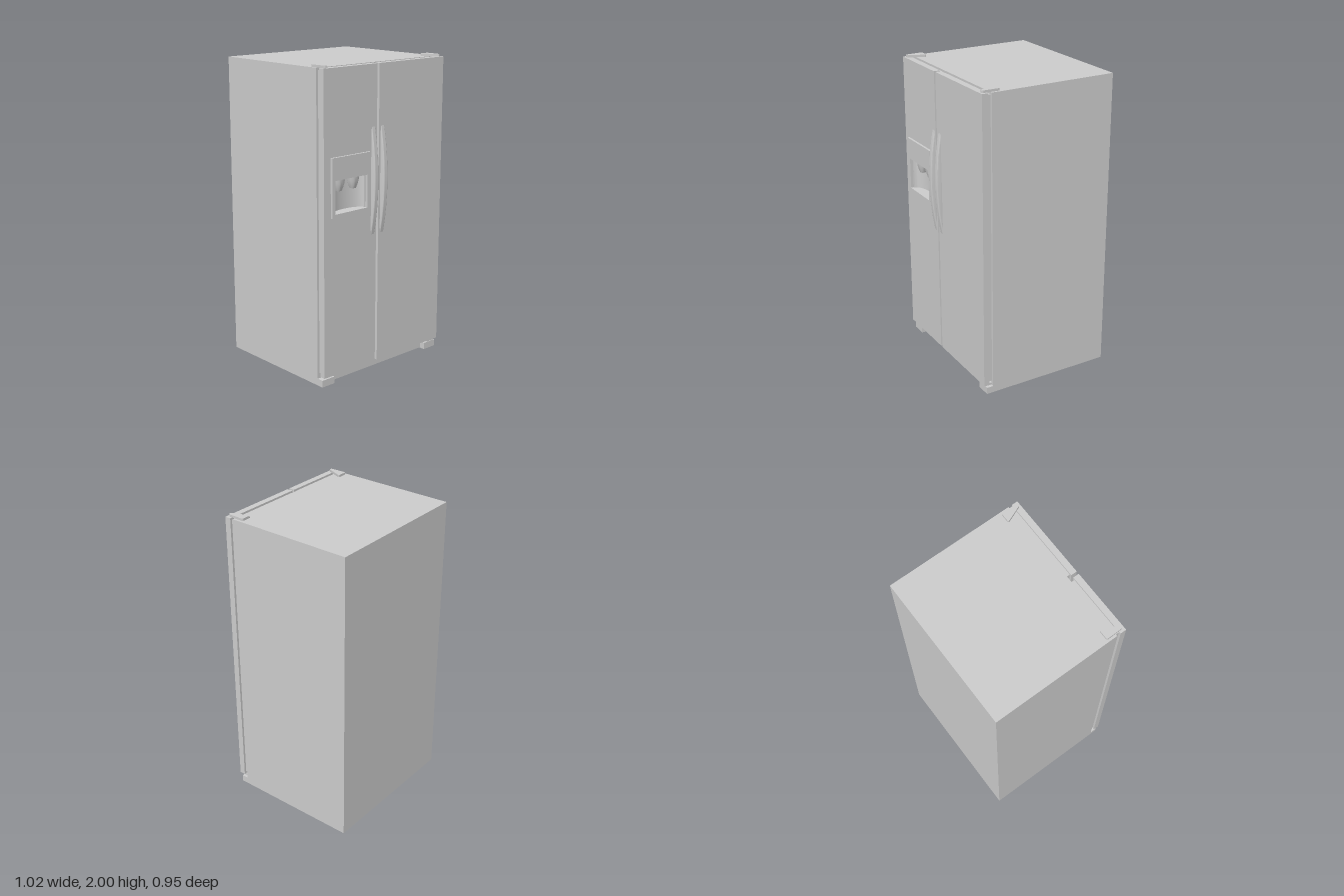
import * as THREE from 'three';
import { toCreasedNormals } from 'three/addons/utils/BufferGeometryUtils.js';

const material = new THREE.MeshStandardMaterial({ color: 0xcccccc });

// Dispenser opening: left, right, bottom, top
const OPENING = [-0.432, -0.168, 1.108, 1.315];

export function createModel() {
  const model = new THREE.Group();

  const add = (name, geometry) => {
    const mesh = new THREE.Mesh(geometry, material);
    mesh.name = name;
    model.add(mesh);
    return mesh;
  };

  // Box given by its limits
  const box = (name, x0, x1, y0, y1, z0, z1) =>
    add(name, new THREE.BoxGeometry(x1 - x0, y1 - y0, z1 - z0)
      .translate((x0 + x1) / 2, (y0 + y1) / 2, (z0 + z1) / 2));

  const rectangle = (path, x0, x1, y0, y1) =>
    path.moveTo(x0, y0).lineTo(x1, y0).lineTo(x1, y1).lineTo(x0, y1).closePath();

  // Upright plate with the dispenser opening cut through it
  const cutPlate = (name, x0, x1, y0, y1, z0, z1) => {
    const shape = rectangle(new THREE.Shape(), x0, x1, y0, y1);
    shape.holes.push(rectangle(new THREE.Path(), ...OPENING));
    add(name, new THREE.ExtrudeGeometry(shape, { depth: z1 - z0, bevelEnabled: false })
      .translate(0, 0, z0));
  };

  // Plan outline in x and z, raised from y0 to y1
  const planExtrude = (points, y0, y1) =>
    new THREE.ExtrudeGeometry(
      new THREE.Shape(points.map(([x, z]) => new THREE.Vector2(x, -z))),
      { depth: y1 - y0, bevelEnabled: false }
    ).rotateX(-Math.PI / 2).translate(0, y0, 0);

  // Cabinet, doors and their inset gaskets
  box('cabinet', -0.512, 0.512, 0, 1.985, -0.475, 0.375);
  cutPlate('freezerGasket', -0.497, -0.09, 0.08, 1.972, 0.375, 0.4);
  cutPlate('freezerDoor', -0.512, -0.078, 0.065, 1.985, 0.4, 0.44);
  box('fridgeGasket', -0.047, 0.497, 0.08, 1.972, 0.375, 0.4);
  box('fridgeDoor', -0.06, 0.512, 0.065, 1.985, 0.4, 0.44);

  // Base: kick plate, feet and lower hinge
  box('kickPlate', -0.415, 0.415, 0.004, 0.045, 0.37, 0.385);
  for (const side of [-1, 1]) {
    const inner = side * 0.412, outer = side * 0.512;
    box('frontFoot', Math.min(inner, outer), Math.max(inner, outer), 0, 0.045, 0.37, 0.42);
  }
  box('lowerHinge', 0.435, 0.497, 0.05, 0.065, 0.37, 0.425);

  // Top hinges: tapered covers with rounded corners
  for (const side of [-1, 1]) {
    const outline = new THREE.Shape()
      .moveTo(0.497, -0.322).lineTo(0.495, -0.42)
      .quadraticCurveTo(0.492, -0.43, 0.482, -0.43)
      .quadraticCurveTo(0.476, -0.43, 0.472, -0.42)
      .lineTo(0.431, -0.324).quadraticCurveTo(0.428, -0.312, 0.438, -0.312)
      .lineTo(0.488, -0.312).quadraticCurveTo(0.497, -0.312, 0.497, -0.322);
    const points = outline.getPoints(6).slice(0, -1).map((p) => [side * p.x, -p.y]);
    add('topHinge', planExtrude(points, 1.985, 2));
  }

  // Dispenser: raised frame, concave back wall and two spouts
  cutPlate('dispenserFrame', -0.458, -0.14, 1.085, 1.455, 0.44, 0.455);
  const [left, right, bottom, top] = OPENING;
  const wall = [[left, 0.374], [right, 0.374]];
  for (let i = 0; i <= 24; i++) {
    const angle = Math.PI * i / 24;
    wall.push([
      (left + right) / 2 + 0.125 * Math.cos(angle),
      0.435 - 0.055 * Math.sin(angle),
    ]);
    if (i === 0) wall.splice(2, 0, [right, 0.435]);
  }
  wall.push([left, 0.435]);
  add('dispenserRecess', toCreasedNormals(planExtrude(wall, bottom, top), 0.6));
  for (const x of [-0.358, -0.24]) {
    const profile = [[0, 0], [0.02, 0], [0.028, 0.02], [0.036, 0.048], [0.041, 0.08]]
      .map(([r, y]) => new THREE.Vector2(r, y));
    add('spout', toCreasedNormals(new THREE.LatheGeometry(profile, 24), 0.6))
      .position.set(x, top - 0.08, 0.398);
  }

  // Handles: bowed bars with rounded edges
  const bow = [new THREE.Vector2(0.425, 0.928)];
  for (let i = 0; i <= 24; i++) {
    const t = i / 12 - 1;
    bow.push(new THREE.Vector2(0.433 + 0.033 * (1 - t * t), 1.2625 + 0.3345 * t));
  }
  bow.push(new THREE.Vector2(0.425, 1.597));
  const bar = toCreasedNormals(new THREE.ExtrudeGeometry(new THREE.Shape(bow), {
    depth: 0.019, bevelThickness: 0.008, bevelSize: 0.008, bevelSegments: 4,
  }).translate(0, 0, -0.0095).rotateY(-Math.PI / 2), 0.6);
  add('freezerHandle', bar).position.x = -0.107;
  add('fridgeHandle', bar).position.x = -0.028;

  return model;
}
